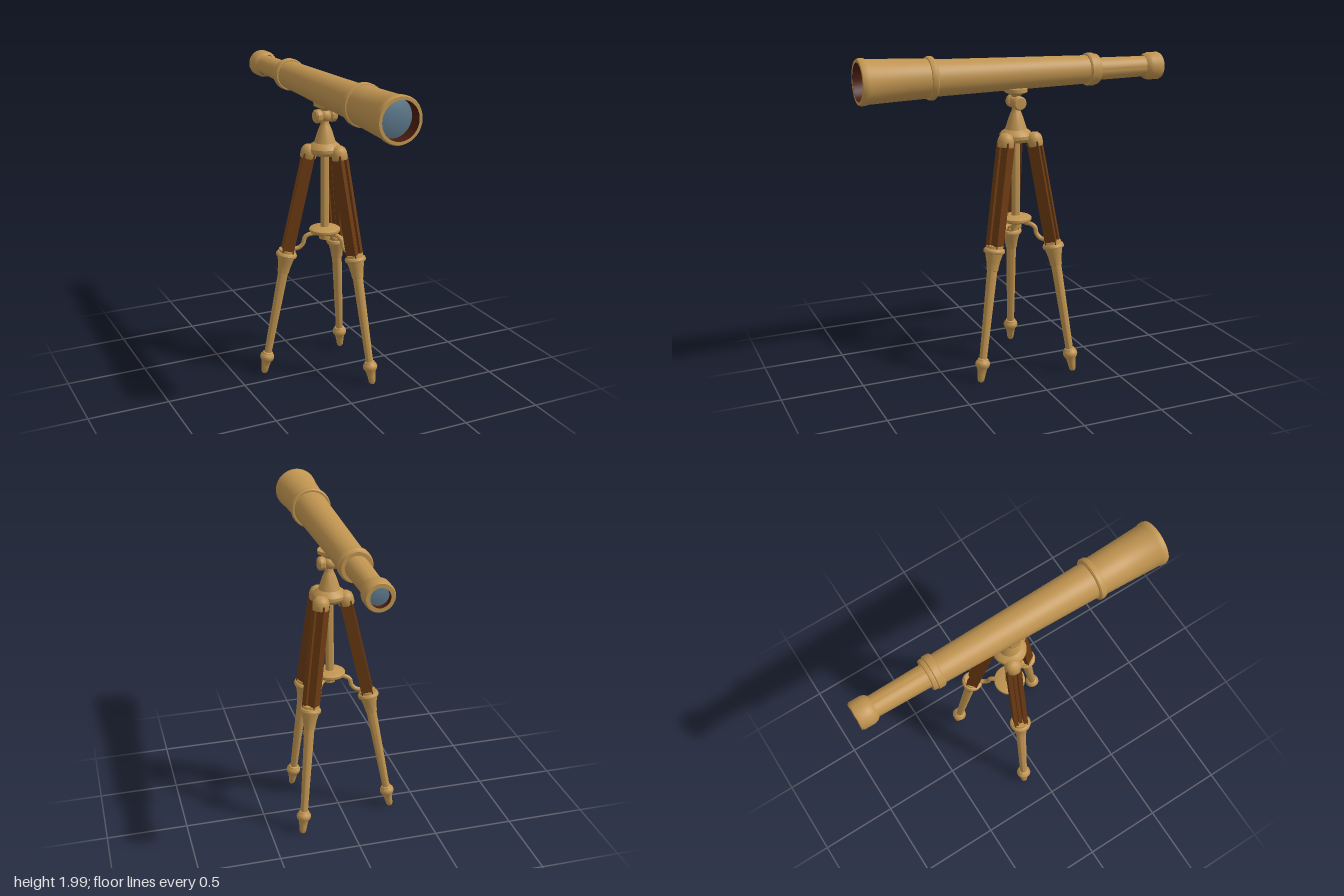
import * as THREE from 'three';
import { toCreasedNormals } from 'three/addons/utils/BufferGeometryUtils.js';

const material = (name, color, side = THREE.FrontSide) => {
  const m = new THREE.MeshStandardMaterial({ color, side });
  m.name = name;
  return m;
};
const V = (x, y, z) => new THREE.Vector3(x, y, z);

export function createModel() {
  const brass = material('brass', 0xc09450);
  const wood = material('dark wood', 0x6b3a12);
  const glass = material('blue glass', 0x5c788a);
  const lining = material('dark red lining', 0x4a1c10);

  const add = (parent, name, geometry, mat, pos = [0, 0, 0]) => {
    const mesh = new THREE.Mesh(geometry, mat);
    mesh.name = name;
    mesh.position.set(...pos);
    parent.add(mesh);
    return mesh;
  };
  // Turned part from [radius, height] pairs, listed upwards
  const turned = (profile, segments = 32) => toCreasedNormals(
    new THREE.LatheGeometry(profile.map(([r, y]) => new THREE.Vector2(r, y)), segments), 0.6);

  const model = new THREE.Group();
  model.name = 'telescopeOnTripod';

  // ---- Telescope tube, built along +y and laid along +z ----
  const scope = new THREE.Group();
  scope.name = 'telescope';
  scope.position.set(0.034, 1.858, 0);
  scope.rotation.set(-0.0075, -0.009, 0);
  model.add(scope);
  const along = (name, geometry, mat) => add(scope, name, geometry.rotateX(Math.PI / 2), mat);

  along('eyepiece', turned([
    [0.056, -0.968], [0.078, -0.968], [0.085, -0.955], [0.085, -0.89], [0.079, -0.87], [0.066, -0.855],
  ], 48), brass);
  along('drawTube', turned([[0.063, -0.87], [0.066, -0.7], [0.069, -0.51]], 48), brass);
  along('rearCollar', turned([
    [0.066, -0.53], [0.09, -0.53], [0.094, -0.52], [0.094, -0.505], [0.1, -0.5],
    [0.1, -0.465], [0.094, -0.457], [0.085, -0.457],
  ], 48), brass);
  along('mainTube', turned([[0.086, -0.47], [0.097, 0.03], [0.108, 0.53]], 48), brass);
  along('frontCollar', turned([
    [0.105, 0.52], [0.12, 0.52], [0.127, 0.528], [0.127, 0.55], [0.122, 0.56], [0.112, 0.562],
  ], 48), brass);
  along('dewShield', turned([
    [0.115, 0.555], [0.12, 0.7], [0.129, 0.922], [0.134, 0.93], [0.135, 0.955], [0.129, 0.968], [0.111, 0.968],
  ], 48), brass);
  along('frontLining', turned([[0.111, 0.967], [0.111, 0.885]], 48), lining);
  along('frontLens', turned([[0.111, 0.888], [0.08, 0.9], [0.04, 0.907], [0, 0.909]], 48), glass);
  along('rearLining', turned([[0.056, -0.93], [0.056, -0.967]], 48), lining);
  along('rearLens', turned([[0, -0.94], [0.03, -0.938], [0.057, -0.932]], 48), glass);

  // ---- Swivel mount and tripod head ----
  const cx = 0.052, cz = 0.01;
  const mount = new THREE.Group();
  mount.name = 'mount';
  mount.position.set(cx, 0, cz);
  model.add(mount);
  add(mount, 'saddle', turned([[0.02, 1.72], [0.035, 1.735], [0.07, 1.753], [0.07, 1.775], [0, 1.775]]), brass);
  add(mount, 'swivelBall', new THREE.SphereGeometry(0.04, 24, 16), brass, [0, 1.69, 0]);
  for (const side of [-1, 1]) {
    const knob = add(mount, 'swivelKnob', turned([
      [0, -0.022], [0.036, -0.022], [0.042, -0.014], [0.042, 0.01], [0.034, 0.02], [0, 0.022],
    ]), brass, [side * 0.05, 1.69, 0]);
    knob.rotation.z = -side * Math.PI / 2;
  }
  add(mount, 'head', turned([
    [0, 1.455], [0.085, 1.455], [0.1, 1.475], [0.1, 1.495], [0.088, 1.512], [0.066, 1.528], [0.057, 1.555],
    [0.043, 1.6], [0.033, 1.625], [0.026, 1.64], [0.022, 1.67], [0.022, 1.73],
  ]), brass);

  // ---- Centre column and spreader hub ----
  add(mount, 'centreColumn', turned([[0.026, 0.93], [0.026, 1.47]]), brass);
  add(mount, 'spreaderHub', turned([
    [0, 0.91], [0.034, 0.91], [0.036, 0.935], [0.06, 0.945], [0.088, 0.953], [0.096, 0.962],
    [0.096, 0.976], [0.088, 0.982], [0.04, 0.986], [0.026, 0.99],
  ]), brass);

  // ---- Legs: each has its own top, knee and foot points ----
  const legs = [
    [V(-0.04, 1.46, -0.025), V(-0.178, 0.82, -0.058), V(-0.32, 0.006, -0.112)],
    [V(0.128, 1.46, -0.078), V(0.22, 0.82, -0.165), V(0.306, 0.006, -0.27)],
    [V(0.104, 1.46, 0.098), V(0.168, 0.82, 0.202), V(0.238, 0.006, 0.325)],
  ];
  // Group at a, local y pointing from a to b, local z pointing outward
  const frame = (parent, name, a, b, outward) => {
    const y = b.clone().sub(a).normalize();
    const x = y.clone().cross(outward).normalize();
    const g = new THREE.Group();
    g.name = name;
    g.quaternion.setFromRotationMatrix(new THREE.Matrix4().makeBasis(x, y, x.clone().cross(y)));
    g.position.copy(a);
    parent.add(g);
    return g;
  };

  for (const [top, knee, foot] of legs) {
    const leg = new THREE.Group();
    leg.name = 'leg';
    model.add(leg);
    const outward = V(knee.x - cx, 0, knee.z - cz).normalize();

    // Upper leg: two side rails and a slimmer middle slat
    const upper = frame(leg, 'upperLeg', knee, top, outward);
    const len = knee.distanceTo(top);
    for (const side of [-1, 1]) {
      add(upper, 'sideRail', new THREE.BoxGeometry(0.026, len, 0.07), wood, [side * 0.03, len / 2, 0]);
    }
    add(upper, 'middleSlat', new THREE.BoxGeometry(0.022, len, 0.045), wood, [0, len / 2, 0]);
    add(upper, 'shoulder', turned([
      [0, -0.03], [0.046, -0.03], [0.05, -0.022], [0.05, 0.015], [0.044, 0.036], [0.028, 0.052], [0, 0.058],
    ], 24), brass, [0, len, 0]);

    // Lower leg: knee socket, tube and pointed foot
    const lower = frame(leg, 'lowerLeg', foot, knee, outward);
    const k = foot.distanceTo(knee);
    add(lower, 'kneeSocket', turned([
      [0.028, k - 0.125], [0.036, k - 0.122], [0.038, k - 0.1], [0.042, k - 0.07], [0.052, k - 0.03],
      [0.054, k - 0.018], [0.064, k - 0.014], [0.066, k - 0.002], [0.06, k + 0.01],
      [0.052, k + 0.014], [0.052, k + 0.028], [0, k + 0.03],
    ], 24), brass);
    add(lower, 'lowerTube', turned([[0.023, 0.12], [0.032, k - 0.11]], 24), brass);
    add(lower, 'foot', turned([
      [0, 0], [0.014, 0.002], [0.021, 0.015], [0.025, 0.05], [0.031, 0.085], [0.041, 0.1],
      [0.046, 0.115], [0.043, 0.13], [0.034, 0.14], [0.032, 0.148], [0.022, 0.152],
    ], 24), brass);

    // S-shaped brace from the hub to the knee
    const reach = Math.hypot(knee.x - cx, knee.z - cz);
    const path = [[0.06, 0.945], [0.1, 0.94], [0.125, 0.922], [0.135, 0.885], [0.16, 0.858], [reach - 0.03, 0.848]]
      .map(([r, y]) => V(cx + outward.x * r, y, cz + outward.z * r));
    add(leg, 'brace', new THREE.TubeGeometry(new THREE.CatmullRomCurve3(path), 24, 0.014, 10), brass);
  }
  return model;
}
